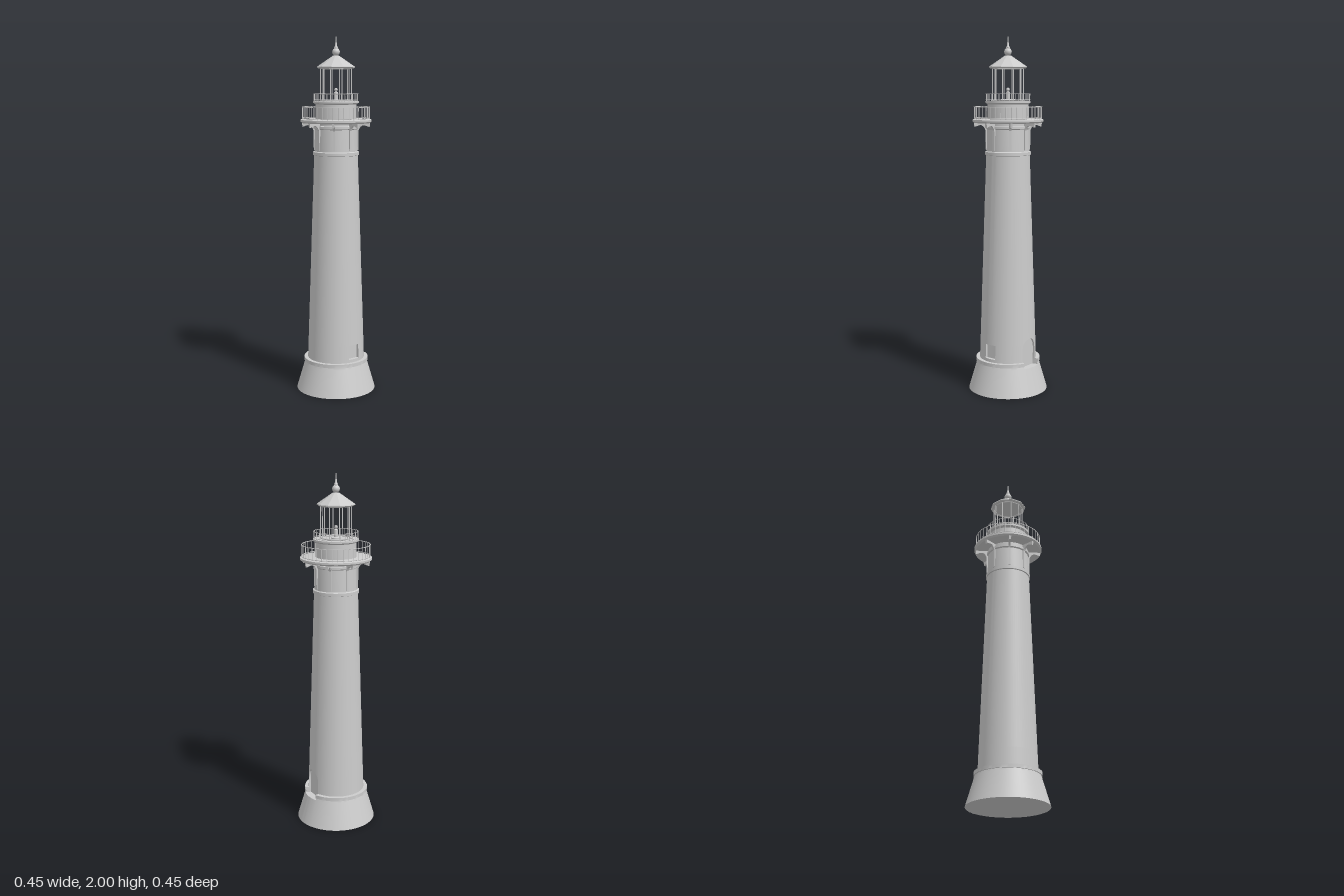
import * as THREE from 'three';
import { toCreasedNormals } from 'three/addons/utils/BufferGeometryUtils.js';

const grey = new THREE.MeshStandardMaterial({ color: 0xcccccc });
const thin = new THREE.MeshStandardMaterial({ color: 0xcccccc, side: THREE.DoubleSide });

function add(parent, name, geometry, material = grey) {
  const mesh = new THREE.Mesh(geometry, material);
  mesh.name = name;
  parent.add(mesh);
  return mesh;
}

// Turned part with sharp edges kept
function turned(points, segments = 64) {
  const profile = points.map(([r, y]) => new THREE.Vector2(r, y));
  return toCreasedNormals(new THREE.LatheGeometry(profile, segments), 0.6);
}

// Calls make(angle, index) around the axis; angle 0 is the front
function around(count, make, offset = 0) {
  for (let i = 0; i < count; i++) make(offset + (i / count) * Math.PI * 2, i);
}

const wallRadius = (y) => 0.161 - 0.039 * (y - 0.183) / (1.345 - 0.183);

// Flared base, belt and tapered shaft, with a recessed arched door (back) and window (left)
function shaftGeometry() {
  const doorHalf = 0.35, windowHalf = 0.22, spring = 0.255, windowHead = 0.28;
  const cols = [];
  const plain = (a, head = windowHead) => cols.push({ a, head, from: 99 });
  const span = (a0, a1, n) => { for (let i = 1; i < n; i++) plain(a0 + (a1 - a0) * i / n); };
  const opening = (centre, half, n, from, head, place) => {
    plain(centre - half, head(-1));
    for (let i = 0; i <= n; i++) {
      const t = (i / n) * 2 - 1;
      cols.push({ a: centre + half * t, head: head(t), from, place });
    }
    plain(centre + half, head(1));
  };
  plain(0);
  span(0, Math.PI / 2 - windowHalf, 14);
  opening(Math.PI / 2, windowHalf, 6, 8, () => windowHead, (p) => { p[0] = 0.14; });
  span(Math.PI / 2 + windowHalf, Math.PI - doorHalf, 11);
  opening(Math.PI, doorHalf, 16, 2,
    (t) => spring + 0.055 * Math.sqrt(Math.max(0, 1 - t * t)), (p) => { p[2] = -0.138; });
  span(Math.PI + doorHalf, Math.PI * 2, 30);
  plain(Math.PI * 2);

  const position = [], index = [];
  const rowCount = 12;
  cols.forEach(({ a, head, from, place }, c) => {
    const rows = [
      [0.224, 0], [0.18, 0.15], [0.18, 0.15], [0.176, 0.163], [0.182, 0.163], [0.182, 0.183],
      [0.161, 0.183], [wallRadius(0.2), 0.2], [wallRadius(0.2), 0.2],
      [wallRadius(head), head], [wallRadius(head), head], [wallRadius(1.345), 1.345],
    ];
    rows.forEach(([r, y], j) => {
      const recessed = j >= from && j <= 9;
      const reach = recessed ? 0.16 : r;
      const p = [reach * Math.sin(a), y, reach * Math.cos(a)];
      if (recessed) place(p);
      position.push(...p);
      if (c === 0 || j === 0) return;
      const k = c * rowCount + j, l = k - rowCount;
      index.push(l - 1, k - 1, k, l - 1, k, l);
    });
  });
  const geometry = new THREE.BufferGeometry();
  geometry.setAttribute('position', new THREE.Float32BufferAttribute(position, 3));
  geometry.setIndex(index);
  return toCreasedNormals(geometry, 0.5);
}

// Balusters with a top rail and a foot rail
function railing(name, radius, y0, y1, count, bar) {
  const group = new THREE.Group();
  group.name = name;
  const post = new THREE.CylinderGeometry(bar, bar, y1 - y0, 6);
  around(count, (a) => add(group, 'baluster', post)
    .position.set(radius * Math.sin(a), (y0 + y1) / 2, radius * Math.cos(a)));
  for (const y of [y0 + 0.006, y1]) {
    const rail = add(group, 'rail', new THREE.TorusGeometry(radius, bar * 1.2, 6, 64));
    rail.rotation.x = Math.PI / 2;
    rail.position.y = y;
  }
  return group;
}

// Thin bracket with an arched underside, running down the wall as a rib
function bracketGeometry() {
  const s = new THREE.Shape();
  s.moveTo(0.112, 1.525);
  s.lineTo(0.112, 1.37);
  s.lineTo(0.124, 1.37);
  s.lineTo(0.126, 1.48);
  s.quadraticCurveTo(0.14, 1.515, 0.165, 1.505);
  s.lineTo(0.187, 1.497);
  s.lineTo(0.19, 1.525);
  s.closePath();
  const g = new THREE.ExtrudeGeometry(s, { depth: 0.012, bevelEnabled: false, curveSegments: 6 });
  g.translate(0, 0, -0.006);
  g.rotateY(-Math.PI / 2);
  return g;
}

export function createModel() {
  const model = new THREE.Group();
  model.name = 'lighthouse';

  add(model, 'shaft', shaftGeometry(), thin);
  const underside = add(model, 'baseUnderside', new THREE.CircleGeometry(0.224, 64));
  underside.rotation.x = Math.PI / 2;

  // Collar and watch room under the main gallery
  add(model, 'watchRoom', turned([
    [0.12, 1.34], [0.128, 1.343], [0.128, 1.36], [0.12, 1.364], [0.117, 1.485],
    [0.124, 1.49], [0.124, 1.503], [0.118, 1.506], [0.118, 1.53],
  ]));
  const bracket = bracketGeometry();
  around(8, (a) => { add(model, 'bracket', bracket).rotation.y = a; });

  // Main gallery
  add(model, 'galleryDeck', turned([
    [0, 1.52], [0.188, 1.52], [0.198, 1.528], [0.198, 1.538], [0.19, 1.541], [0, 1.541],
  ]));
  model.add(railing('galleryRailing', 0.188, 1.54, 1.608, 40, 0.0018));

  // Service room and lantern gallery
  add(model, 'serviceRoom', turned([
    [0.113, 1.54], [0.113, 1.622], [0.126, 1.63], [0.126, 1.64], [0, 1.64],
  ]));
  model.add(railing('lanternRailing', 0.122, 1.64, 1.68, 30, 0.0014));

  // Lantern cage
  const cagePost = new THREE.CylinderGeometry(0.003, 0.003, 0.185, 6);
  around(10, (a) => add(model, 'lanternPost', cagePost)
    .position.set(0.085 * Math.sin(a), 1.7325, 0.085 * Math.cos(a)));
  for (const y of [1.645, 1.818]) {
    const ring = add(model, 'lanternRing', new THREE.TorusGeometry(0.085, 0.004, 6, 10));
    ring.rotation.set(Math.PI / 2, 0, Math.PI / 2);
    ring.position.y = y;
  }

  // Lamp on its pedestal
  add(model, 'lamp', turned([
    [0.026, 1.64], [0.026, 1.646], [0.012, 1.65], [0.012, 1.688], [0.005, 1.692],
    [0.01, 1.7], [0.009, 1.709], [0, 1.713],
  ], 16));

  // Ten-sided roof
  const roof = new THREE.LatheGeometry([
    [0, 1.818], [0.098, 1.818], [0.105, 1.824], [0.103, 1.829], [0.018, 1.887], [0, 1.888],
  ].map(([r, y]) => new THREE.Vector2(r, y)), 10).toNonIndexed();
  roof.computeVertexNormals();
  add(model, 'roof', roof);

  // Ball and spire
  add(model, 'finialBall', new THREE.SphereGeometry(0.021, 24, 16)).position.y = 1.908;
  add(model, 'spire', turned([
    [0.009, 1.924], [0.011, 1.932], [0.007, 1.938], [0.0045, 1.955], [0.0005, 2],
  ], 16));

  return model;
}
